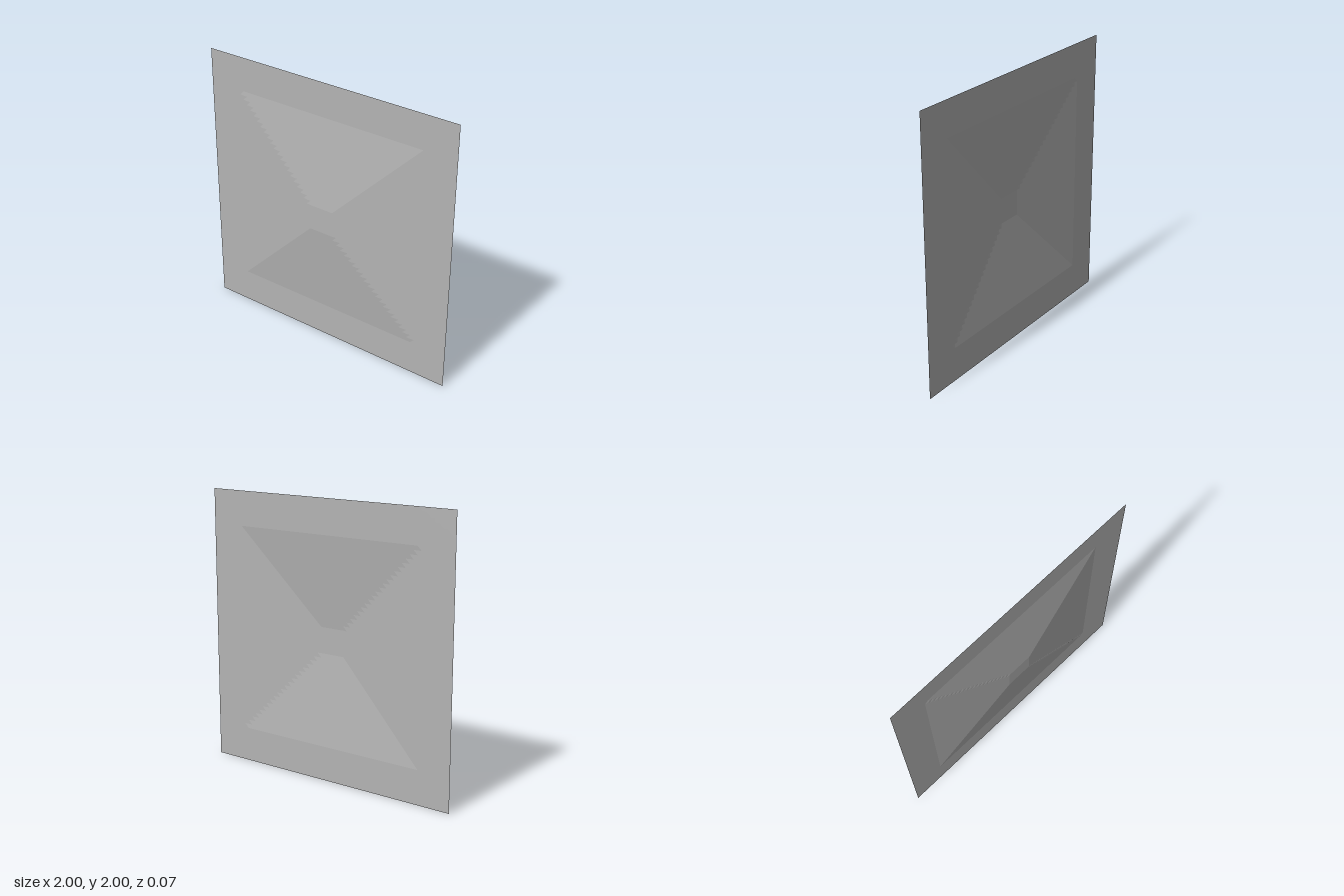
import * as THREE from 'three';

const CELLS = 64;      // grid cells per side
const SLOPE = 0.1;     // rise per unit of run
const FOOT = 0.75;     // half width of the raised pyramid
const PLATEAU = 0.09375; // half width of its flat top

// Height of the truncated square pyramid at a point of the sheet
function relief(x, y) {
  const reach = Math.max(Math.abs(x), Math.abs(y));
  return SLOPE * (FOOT - THREE.MathUtils.clamp(reach, PLATEAU, FOOT));
}

export function createModel() {
  const group = new THREE.Group();
  group.name = 'embossedPanel';

  const grey = new THREE.MeshStandardMaterial({
    color: 0xb4b4b4, flatShading: true, side: THREE.DoubleSide,
  });
  grey.name = 'light grey';

  // Thin upright sheet, pushed forward into a shallow pyramid
  const sheet = new THREE.PlaneGeometry(2, 2, CELLS, CELLS);
  const pos = sheet.attributes.position;
  const half = relief(0, 0) / 2;
  for (let i = 0; i < pos.count; i++) {
    pos.setZ(i, relief(pos.getX(i), pos.getY(i)) - half);
  }
  sheet.translate(0, 1, 0);

  // Separate the faces so that every facet stays flat
  const facets = sheet.toNonIndexed();
  facets.computeVertexNormals();

  const panel = new THREE.Mesh(facets, grey);
  panel.name = 'pyramidSheet';
  group.add(panel);
  return group;
}
